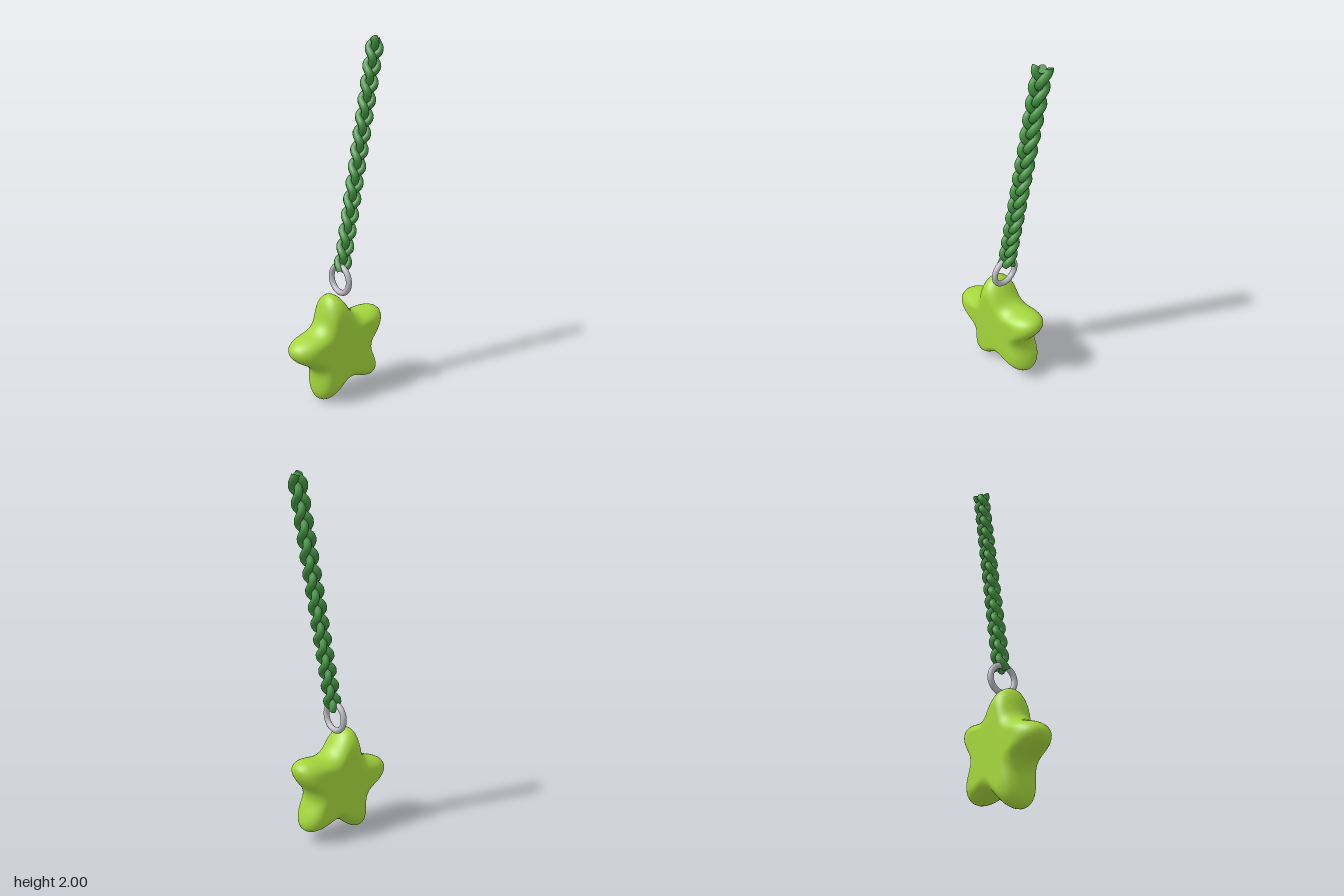
import * as THREE from 'three';

const lime = new THREE.MeshStandardMaterial({ name: 'limeGreen', color: 0xa4d63c });
const green = new THREE.MeshStandardMaterial({ name: 'ropeGreen', color: 0x429140 });
const silver = new THREE.MeshStandardMaterial({ name: 'silver', color: 0xb9b9c2 });

// Pillow-like star: a wavy outline, shrunk towards flat front and back faces
function starGeometry() {
  const around = 120, steps = 20, halfDepth = 0.102, tip = THREE.MathUtils.degToRad(101);
  const rings = [[0, -halfDepth], [0.35, -halfDepth]];
  for (let i = 0; i <= steps; i++) {
    const a = -Math.PI / 2 + (Math.PI * i) / steps;
    rings.push([0.63 + 0.37 * Math.cos(a), halfDepth * Math.sin(a)]);
  }
  rings.push([0.35, halfDepth], [0, halfDepth]);
  const pos = [], index = [];
  for (const [scale, z] of rings) {
    for (let j = 0; j < around; j++) {
      const t = (j / around) * Math.PI * 2, w = 5 * (t - tip);
      const r = scale * (0.26 + 0.056 * Math.cos(w) + 0.008 * Math.cos(2 * w));
      pos.push(r * Math.cos(t), r * Math.sin(t), z);
    }
  }
  for (let i = 0; i < rings.length - 1; i++) {
    for (let j = 0; j < around; j++) {
      const k = (j + 1) % around;
      const a = i * around + j, b = i * around + k, c = a + around, d = b + around;
      if (i > 0) index.push(a, b, d);
      if (i < rings.length - 2) index.push(a, d, c);
      else index.push(a, b, c);
      if (i === 0) index.push(a, d, c);
    }
  }
  const g = new THREE.BufferGeometry();
  g.setAttribute('position', new THREE.Float32BufferAttribute(pos, 3));
  g.setIndex(index);
  g.computeVertexNormals();
  // The pole points share a position, so give both poles a clean normal
  const n = g.attributes.normal, last = (rings.length - 1) * around;
  for (let j = 0; j < around; j++) {
    n.setXYZ(j, 0, 0, -1);
    n.setXYZ(last + j, 0, 0, 1);
  }
  return g;
}

// One braid strand, weaving in a figure of eight about the leaning rope axis
class StrandCurve extends THREE.Curve {
  constructor(phase) {
    super();
    this.phase = phase;
  }
  getPoint(u, target = new THREE.Vector3()) {
    const start = new THREE.Vector3(0.038, 0.745, 0), end = new THREE.Vector3(0.26, 1.982, 0);
    const axis = end.clone().sub(start).normalize();
    const side = new THREE.Vector3(axis.y, -axis.x, 0);
    const t = u * Math.PI * 2 * 4.7 + this.phase;
    target.lerpVectors(start, end, u).addScaledVector(side, 0.027 * Math.sin(t));
    target.z = 0.022 * Math.sin(2 * t);
    return target;
  }
}

function makeStrand(i) {
  const radius = 0.0208, sides = 8;
  const curve = new StrandCurve((i * Math.PI * 2) / 3);
  const strand = new THREE.Group();
  strand.name = 'ropeStrand' + (i + 1);
  const tube = new THREE.Mesh(new THREE.TubeGeometry(curve, 150, radius, sides), green);
  tube.name = 'strandTube';
  strand.add(tube);
  // Cut ends of the strand
  for (const u of [0, 1]) {
    const cap = new THREE.Mesh(new THREE.CircleGeometry(radius, 12), green);
    cap.name = u ? 'strandTopEnd' : 'strandBottomEnd';
    const p = curve.getPointAt(u), dir = curve.getTangentAt(u).multiplyScalar(u ? 1 : -1);
    cap.position.copy(p);
    cap.quaternion.setFromUnitVectors(new THREE.Vector3(0, 0, 1), dir);
    strand.add(cap);
  }
  return strand;
}

export function createModel() {
  const model = new THREE.Group();
  model.name = 'starCharm';

  const star = new THREE.Mesh(starGeometry(), lime);
  star.name = 'star';
  star.position.set(0.012, 0.302, 0);
  model.add(star);

  // Ring faces sideways and joins the star to the rope
  const ring = new THREE.Mesh(new THREE.TorusGeometry(0.077, 0.0165, 16, 56), silver);
  ring.name = 'ring';
  ring.position.set(0.027, 0.693, 0);
  ring.rotation.y = Math.PI / 2;
  model.add(ring);

  const rope = new THREE.Group();
  rope.name = 'braidedRope';
  for (let i = 0; i < 3; i++) rope.add(makeStrand(i));
  model.add(rope);

  return model;
}
